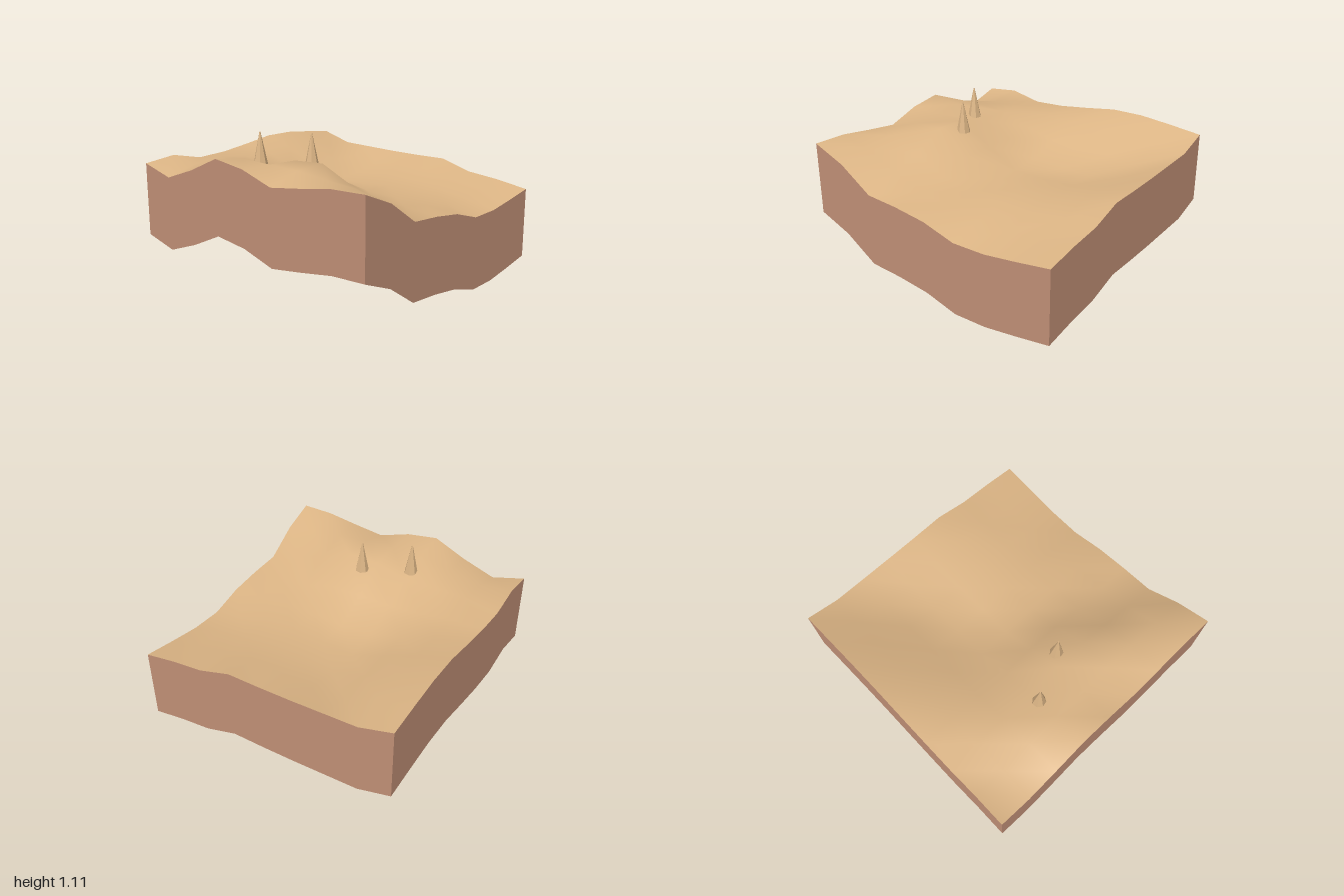
import * as THREE from 'three';

const N = 8;          // cells per side
const DEPTH = 0.532;  // height of the cut soil below the surface

// Ground heights: rows run from back to front, columns from x = -1 to x = 1
const HEIGHTS = [
  [0.855, 0.88, 0.825, 0.835, 0.865, 0.90, 0.90, 0.875, 0.845],
  [0.785, 0.845, 0.865, 0.825, 0.82, 0.825, 0.82, 0.79, 0.77],
  [0.87, 0.89, 0.87, 0.785, 0.73, 0.72, 0.715, 0.71, 0.76],
  [0.98, 0.945, 0.86, 0.765, 0.655, 0.63, 0.64, 0.685, 0.75],
  [0.943, 0.935, 0.925, 0.775, 0.64, 0.635, 0.65, 0.70, 0.745],
  [0.86, 0.925, 0.935, 0.765, 0.655, 0.65, 0.655, 0.695, 0.745],
  [0.89, 0.90, 0.82, 0.69, 0.645, 0.63, 0.63, 0.65, 0.67],
  [0.925, 0.875, 0.745, 0.67, 0.63, 0.59, 0.59, 0.61, 0.642],
  [0.93, 0.83, 0.665, 0.645, 0.61, 0.535, 0.535, 0.565, 0.60],
];

const coord = (i) => -1 + (2 * i) / N;

// Rolling surface: a plane lifted to the height grid
function surfaceGeometry() {
  const geo = new THREE.PlaneGeometry(2, 2, N, N).rotateX(-Math.PI / 2);
  const pos = geo.attributes.position;
  for (let i = 0; i < pos.count; i++) {
    pos.setY(i, HEIGHTS[Math.floor(i / (N + 1))][i % (N + 1)]);
  }
  geo.computeVertexNormals();
  return geo;
}

// Soil wall: follows one border; cell(i) gives [row, column], left to right from outside
function wallGeometry(cell) {
  const geo = new THREE.PlaneGeometry(2, DEPTH, N, 1);
  const pos = geo.attributes.position;
  for (let i = 0; i <= N; i++) {
    const [row, col] = cell(i);
    const y = HEIGHTS[row][col];
    pos.setXYZ(i, coord(col), y, coord(row));
    pos.setXYZ(i + N + 1, coord(col), y - DEPTH, coord(row));
  }
  geo.computeVertexNormals();
  return geo;
}

export function createModel() {
  const sand = new THREE.MeshStandardMaterial({ color: 0xdcb585, side: THREE.DoubleSide });
  sand.name = 'sand';
  const soil = new THREE.MeshStandardMaterial({ color: 0xc08f76, side: THREE.DoubleSide });
  soil.name = 'soil';

  const model = new THREE.Group();
  model.name = 'terrainBlock';
  const add = (name, geo, mat) => {
    const mesh = new THREE.Mesh(geo, mat);
    mesh.name = name;
    model.add(mesh);
    return mesh;
  };

  add('groundSurface', surfaceGeometry(), sand);

  // Four walls, open underneath
  const walls = {
    frontWall: (i) => [N, i],
    rightWall: (i) => [N - i, N],
    backWall: (i) => [0, N - i],
    leftWall: (i) => [i, 0],
  };
  for (const [name, cell] of Object.entries(walls)) add(name, wallGeometry(cell), soil);

  // Two slim faceted spires on the hillside
  const spire = new THREE.CylinderGeometry(0.004, 0.052, 0.23, 7).toNonIndexed();
  spire.computeVertexNormals();
  [[-0.585, -0.25], [-0.42, 0.083]].forEach(([x, z], i) => {
    add(`spire${i + 1}`, spire, sand).position.set(x, 0.88 + 0.115, z);
  });

  return model;
}
